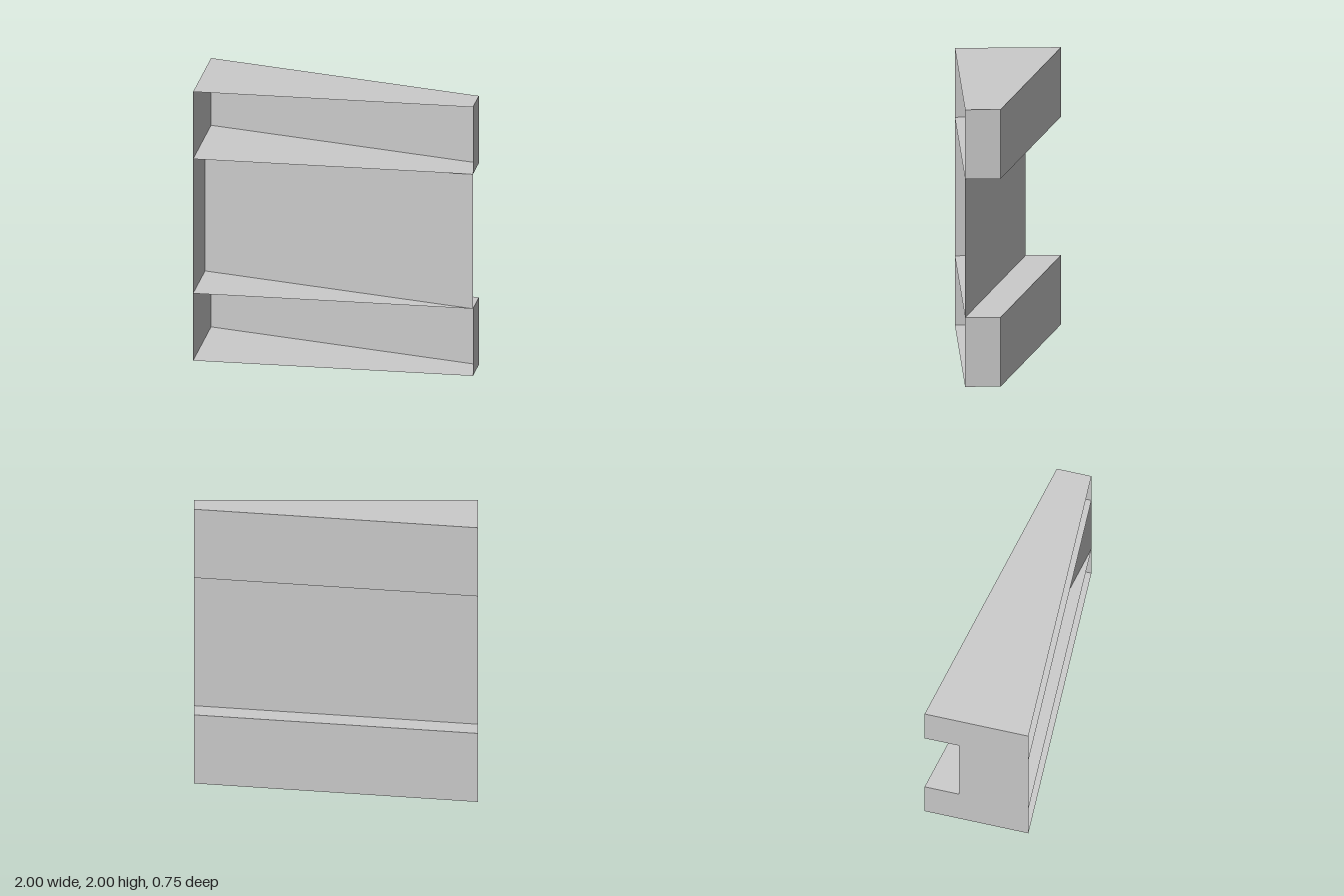
import * as THREE from 'three';

const material = new THREE.MeshStandardMaterial({ color: 0xcccccc, flatShading: true, side: THREE.DoubleSide });

const FRONT = 0.375;
// Plan outlines as [x, z], running from the front of the wide end round the back
const deepPlan = [[-1, FRONT], [-1, -0.375], [1, 0.125], [1, FRONT]];
const recessedPlan = [[-1, FRONT], [-1, -0.125], [1, FRONT]];

// Upright sheet walls following a plan, open at the front
function walls(name, plan, y0, y1) {
  const positions = [];
  for (let i = 0; i < plan.length - 1; i++) {
    const [ax, az] = plan[i];
    const [bx, bz] = plan[i + 1];
    positions.push(bx, y0, bz, ax, y0, az, ax, y1, az);
    positions.push(bx, y0, bz, ax, y1, az, bx, y1, bz);
  }
  const geometry = new THREE.BufferGeometry();
  geometry.setAttribute('position', new THREE.Float32BufferAttribute(positions, 3));
  geometry.computeVertexNormals();
  const mesh = new THREE.Mesh(geometry, material);
  mesh.name = name;
  return mesh;
}

// Flat tapered sheet at height y, facing up or down
function plate(name, y, up) {
  const side = up ? -1 : 1;
  const shape = new THREE.Shape(deepPlan.map(([x, z]) => new THREE.Vector2(x, z * side)));
  const geometry = new THREE.ShapeGeometry(shape);
  geometry.rotateX(side * Math.PI / 2);
  const mesh = new THREE.Mesh(geometry, material);
  mesh.name = name;
  mesh.position.y = y;
  return mesh;
}

export function createModel() {
  const model = new THREE.Group();
  model.name = 'taperedOpenShelf';
  model.add(
    // Three tiers of walls; the middle one is set back
    walls('lowerWalls', deepPlan, 0, 0.5),
    walls('middleWalls', recessedPlan, 0.5, 1.5),
    walls('upperWalls', deepPlan, 1.5, 2),
    // Base, two shelves and top
    plate('base', 0, false),
    plate('lowerShelf', 0.5, true),
    plate('upperShelf', 1.5, false),
    plate('top', 2, true),
  );
  return model;
}
